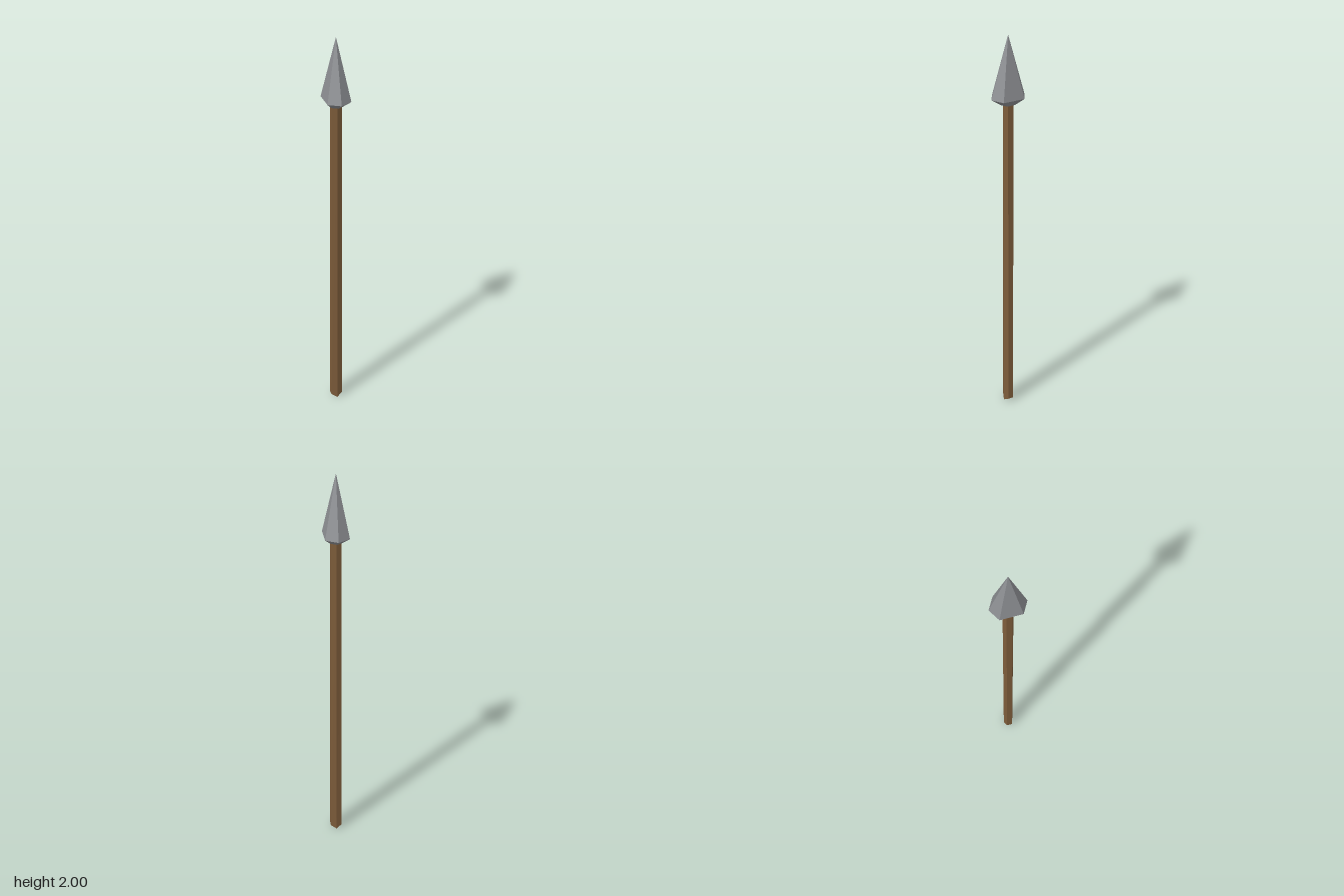
import * as THREE from 'three';

// Six-sided ring with points at front and back: half width, half depth, side corner depth.
// `drop` raises (+) the side corners above the front and back points.
function ring(y, w, d, s, drop = 0) {
  return [
    [0, y, d], [w, y + drop, s], [w, y + drop, -s],
    [0, y, -d], [-w, y + drop, -s], [-w, y + drop, s],
  ];
}

// Joins rings from bottom to top and closes both ends.
function loft(rings) {
  const pos = [];
  const tri = (a, b, c) => pos.push(...a, ...b, ...c);
  const quad = (a, b, c, d) => { tri(a, b, c); tri(a, c, d); };
  for (let k = 0; k < rings.length - 1; k++) {
    const lo = rings[k], hi = rings[k + 1];
    for (let i = 0; i < 6; i++) {
      const j = (i + 1) % 6;
      quad(lo[i], lo[j], hi[j], hi[i]);
    }
  }
  // Each end is two halves meeting along the front-to-back ridge
  const b = rings[0], t = rings[rings.length - 1];
  quad(b[3], b[2], b[1], b[0]);
  quad(b[0], b[5], b[4], b[3]);
  quad(t[0], t[1], t[2], t[3]);
  quad(t[3], t[4], t[5], t[0]);
  const geo = new THREE.BufferGeometry();
  geo.setAttribute('position', new THREE.Float32BufferAttribute(pos, 3));
  geo.computeVertexNormals();
  return geo;
}

export function createModel() {
  const wood = new THREE.MeshStandardMaterial({ name: 'brown wood', color: 0x7d5c3a, flatShading: true });
  const steel = new THREE.MeshStandardMaterial({ name: 'grey steel', color: 0x8b8d91, flatShading: true });
  const model = new THREE.Group();
  model.name = 'spear';

  const add = (name, geo, mat) => {
    const mesh = new THREE.Mesh(geo, mat);
    mesh.name = name;
    model.add(mesh);
  };

  // Slightly tapered shaft with a wedge-cut foot
  add('shaft', loft([
    ring(0, 0.029, 0.025, 0.014, 0.018),
    ring(1.68, 0.025, 0.025, 0.014),
  ]), wood);

  // Spearhead: short bevelled collar, wide rim, long point
  add('spearhead', loft([
    ring(1.67, 0.028, 0.036, 0.02),
    ring(1.703, 0.057, 0.087, 0.054),
    ring(2, 0.0003, 0.0003, 0.0002),
  ]), steel);

  return model;
}
